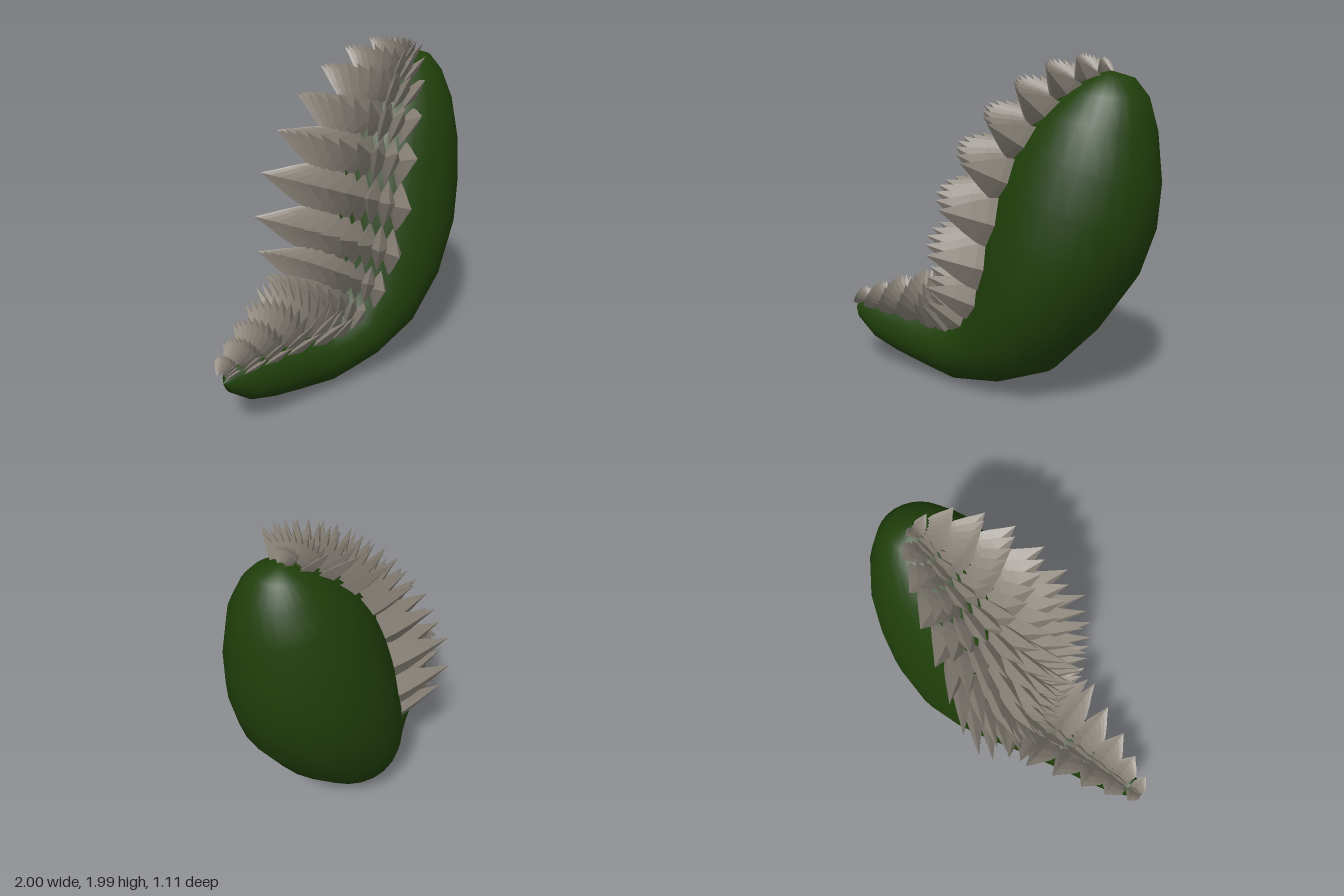
import * as THREE from 'three';

// Stations from tail to head: inner point, outer point, half width, tip of the middle spike
const ROWS = [
  [-0.95, 0.40, -0.96, 0.27, 0.05, -0.95, 0.48],
  [-0.82, 0.415, -0.82, 0.16, 0.10, -0.82, 0.53],
  [-0.68, 0.42, -0.65, 0.10, 0.135, -0.68, 0.59],
  [-0.52, 0.42, -0.45, 0.05, 0.17, -0.50, 0.65],
  [-0.36, 0.42, -0.20, 0.00, 0.22, -0.36, 0.70],
  [-0.24, 0.43, -0.04, 0.025, 0.265, -0.34, 0.66],
  [-0.13, 0.50, 0.12, 0.05, 0.32, -0.30, 0.69],
  [-0.04, 0.66, 0.42, 0.17, 0.40, -0.31, 0.81],
  [0.00, 0.88, 0.68, 0.45, 0.46, -0.31, 1.00],
  [0.04, 1.13, 0.89, 0.77, 0.46, -0.26, 1.26],
  [0.10, 1.36, 0.98, 1.04, 0.425, -0.14, 1.52],
  [0.20, 1.55, 1.00, 1.30, 0.38, 0.02, 1.72],
  [0.33, 1.69, 0.97, 1.58, 0.31, 0.20, 1.87],
  [0.46, 1.79, 0.92, 1.76, 0.22, 0.37, 1.96],
  [0.58, 1.855, 0.84, 1.86, 0.14, 0.54, 1.99],
  [0.67, 1.89, 0.74, 1.89, 0.04, 0.66, 1.97],
];
const SIDES = 28, COLUMNS = 11, SPREAD = 0.78, BODY_Z = 0.025;

const stations = ROWS.map(([px, py, ox, oy, w, tx, ty]) => {
  const inner = new THREE.Vector3(px, py, 0), outer = new THREE.Vector3(ox, oy, 0);
  const axis = inner.clone().sub(outer);
  const a = axis.length() / 2;
  return {
    inner, a, w, axis: axis.normalize(),
    center: inner.clone().add(outer).multiplyScalar(0.5),
    reach: new THREE.Vector3(tx, ty, 0).sub(inner),
  };
});

// Point on a station's elliptical outline; angle 0 is the inner side
const outline = (s, angle) => s.center.clone()
  .addScaledVector(s.axis, s.a * Math.cos(angle))
  .add(new THREE.Vector3(0, 0, s.w * Math.sin(angle)));

// Curved body skinned over the elliptical stations, closed to a point at each end
function bodyGeometry() {
  const cap = (x, y) => ({ center: new THREE.Vector3(x, y, 0), axis: new THREE.Vector3(), a: 0, w: 0 });
  const rings = [cap(-1, 0.34), ...stations, cap(0.705, 1.9)];
  const positions = [], index = [];
  rings.forEach((s, i) => {
    for (let j = 0; j < SIDES; j++) {
      positions.push(...outline(s, (j / SIDES) * Math.PI * 2).toArray());
      if (i === rings.length - 1) continue;
      const k = (j + 1) % SIDES;
      const p = i * SIDES + j, q = i * SIDES + k;
      index.push(p, q, p + SIDES, q, q + SIDES, p + SIDES);
    }
  });
  const g = new THREE.BufferGeometry();
  g.setAttribute('position', new THREE.Float32BufferAttribute(positions, 3));
  g.setIndex(index);
  g.computeVertexNormals();
  return g;
}

// Unit four-sided spike along +y with bulging sides and its ridges on the x and z axes
function spikeGeometry() {
  const g = new THREE.ConeGeometry(1, 1, 4, 4).translate(0, 0.5, 0);
  const p = g.attributes.position;
  for (let i = 0; i < p.count; i++) {
    const t = p.getY(i);
    const bulge = 1 + 0.8 * t * (1 - t);
    p.setXYZ(i, p.getX(i) * bulge, t, p.getZ(i) * bulge);
  }
  return g;
}

export function createModel() {
  const model = new THREE.Group();
  const green = new THREE.MeshStandardMaterial({ color: 0x203f0b });
  green.name = 'dark green';
  const grey = new THREE.MeshStandardMaterial({ color: 0x8c857b, flatShading: true });
  grey.name = 'warm grey';

  const body = new THREE.Mesh(bodyGeometry(), green);
  body.name = 'body';
  body.position.z = BODY_Z;
  model.add(body);

  // Rows of spikes fanning out over the inner side
  const spike = spikeGeometry();
  const last = stations.length - 1;
  stations.forEach((s, i) => {
    const row = new THREE.Group();
    row.name = `spikeRow${i + 1}`;
    const prev = stations[Math.max(i - 1, 0)], next = stations[Math.min(i + 1, last)];
    const along = next.inner.clone().sub(prev.inner);
    const halfHeight = 0.62 * along.length() / (i === 0 || i === last ? 1.6 : 2);
    along.normalize();
    const length = s.reach.length();
    for (let c = 0; c < COLUMNS; c++) {
      const angle = SPREAD * (2 * c / (COLUMNS - 1) - 1);
      // outward direction: the row's reach swung sideways by the surface normal
      const swing = Math.atan2(Math.sin(angle) / s.w, Math.cos(angle) / s.a);
      const lean = THREE.MathUtils.clamp(swing, -1, 1);
      const y = s.reach.clone().normalize().multiplyScalar(Math.cos(lean));
      y.z = Math.sin(lean);
      const x = along.clone().addScaledVector(y, -along.dot(y)).normalize();
      const z = new THREE.Vector3().crossVectors(x, y);
      const sink = 0.1 * length;
      const root = outline(s, angle).addScaledVector(y, -sink);
      const m = new THREE.Mesh(spike, grey);
      m.name = 'spike';
      m.quaternion.setFromRotationMatrix(new THREE.Matrix4().makeBasis(x, y, z));
      m.position.copy(root);
      m.position.z += BODY_Z / 2;
      m.scale.set(halfHeight, length + sink, 0.12 * s.w + 0.008);
      row.add(m);
    }
    model.add(row);
  });
  return model;
}
